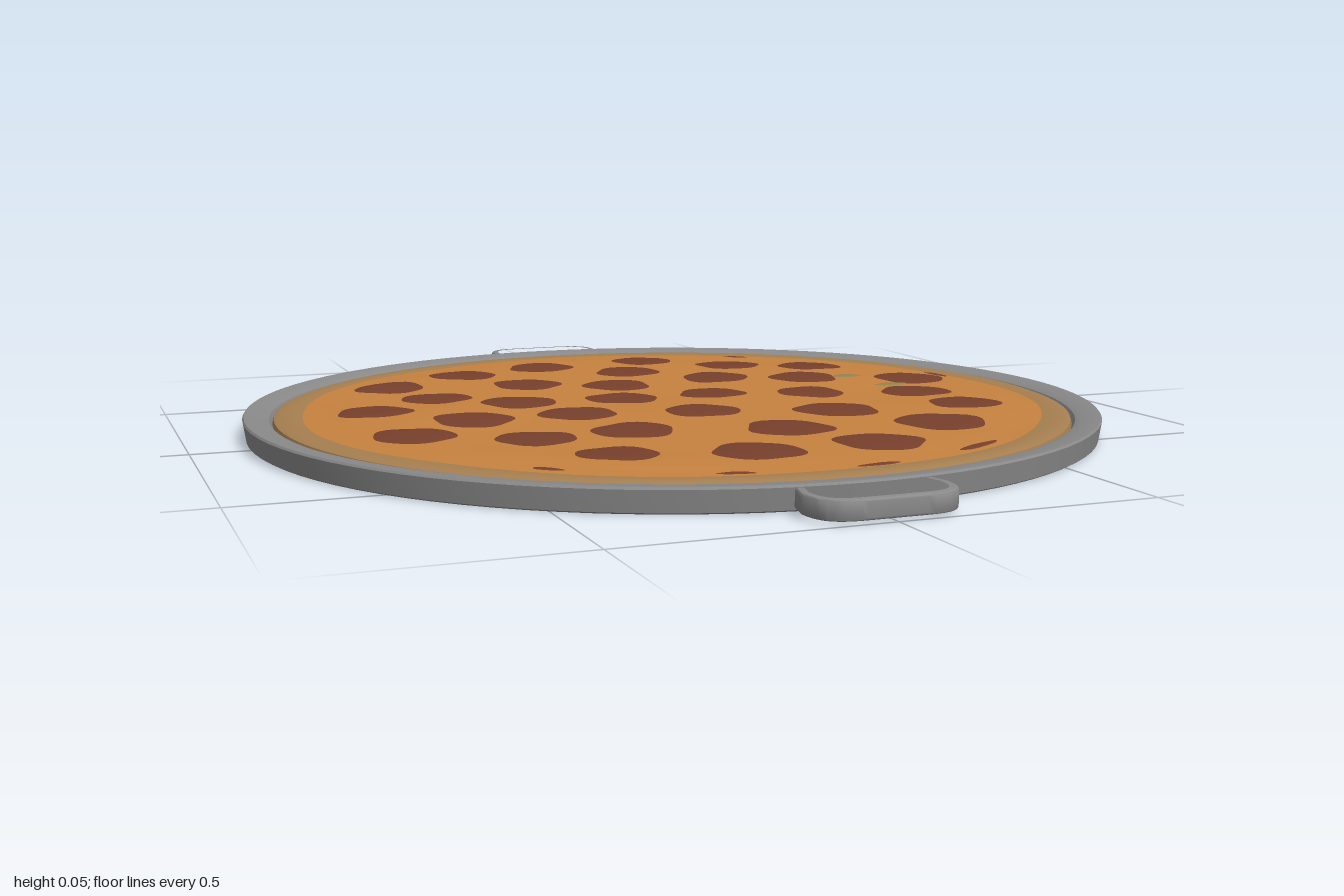
import * as THREE from 'three';
import { toCreasedNormals } from 'three/addons/utils/BufferGeometryUtils.js';

const mat = (name, color) => {
  const m = new THREE.MeshStandardMaterial({ color });
  m.name = name;
  return m;
};

// Gently rippled top of the cheese, dropping to the crust at its edge
function cheeseHeight(x, z) {
  const r = Math.hypot(x, z);
  const ripple = 0.0016 * Math.sin(9 * x + 2 * Math.sin(6 * z)) + 0.0014 * Math.sin(11 * z - 4 * x);
  const edge = THREE.MathUtils.smoothstep(r, 0.66, 0.78);
  return 0.0485 + ripple * (1 - edge) - 0.004 * edge;
}

// Disc of rings and segments; point(t, angle) gives each [x, y, z]
function discGeometry(rings, segments, point) {
  const pos = [], index = [];
  for (let i = 0; i <= rings; i++)
    for (let j = 0; j <= segments; j++) pos.push(...point(i / rings, (j / segments) * Math.PI * 2));
  const w = segments + 1;
  for (let i = 0; i < rings; i++)
    for (let j = 0; j < segments; j++) {
      const a = i * w + j, b = a + w;
      if (i > 0) index.push(a, a + 1, b);
      index.push(a + 1, b + 1, b);
    }
  const g = new THREE.BufferGeometry();
  g.setAttribute('position', new THREE.Float32BufferAttribute(pos, 3));
  g.setIndex(index);
  g.computeVertexNormals();
  return g;
}

// Thin irregular topping draped on the cheese
function toppingGeometry(cx, cz, rx, rz, turn, seed, lift) {
  const c = Math.cos(turn), s = Math.sin(turn);
  return discGeometry(4, 28, (t, a) => {
    const wobble = 1 + 0.05 * Math.sin(3 * a + seed * 2.1) + 0.035 * Math.sin(5 * a + seed * 3.7);
    const u = rx * t * wobble * Math.cos(a), v = rz * t * wobble * Math.sin(a);
    const x = cx + u * c - v * s, z = cz + u * s + v * c;
    return [x, cheeseHeight(x, z) + (t === 1 ? 0.0004 : lift), z];
  });
}

export function createModel() {
  const steel = mat('pan grey', 0x8a8a8a);
  const crustTan = mat('crust tan', 0xa67f50);
  const cheeseOrange = mat('cheese orange', 0xc6823f);
  const meatRed = mat('pepperoni brown', 0x77402c);
  const herbGreen = mat('herb olive', 0x94824f);

  const model = new THREE.Group();
  model.name = 'pizzaInPan';
  const add = (name, geometry, material, parent = model) => {
    const mesh = new THREE.Mesh(geometry, material);
    mesh.name = name;
    parent.add(mesh);
    return mesh;
  };
  const lathe = (profile) => toCreasedNormals(
    new THREE.LatheGeometry(profile.map(([x, y]) => new THREE.Vector2(x, y)), 96), 0.5);

  // Shallow round pan with a wide rim
  add('pan', lathe([[0, 0.003], [0.88, 0.003], [0.885, 0.006], [0.891, 0.046], [0.888, 0.05],
    [0.85, 0.047], [0.838, 0.042], [0.83, 0.03], [0, 0.03]]), steel);

  // Crust ring between the rim and the cheese
  add('crust', lathe([[0.832, 0.032], [0.829, 0.042], [0.818, 0.046], [0.79, 0.0455], [0.76, 0.043]]), crustTan);

  // Cheese
  add('cheese', discGeometry(40, 96, (t, a) => {
    const r = 0.775 * t * (1 + 0.006 * Math.sin(7 * a) * t);
    const x = r * Math.cos(a), z = r * Math.sin(a);
    return [x, cheeseHeight(x, z), z];
  }), cheeseOrange);

  // Pepperoni slices: x, z, radius
  const slices = [
    [-0.11, -0.6, 0.076], [0.16, -0.62, 0.074], [-0.32, -0.53, 0.078], [0.06, -0.45, 0.074],
    [0.33, -0.47, 0.077], [-0.52, -0.41, 0.076], [0.51, -0.39, 0.077], [-0.22, -0.34, 0.076],
    [-0.03, -0.27, 0.075], [0.22, -0.29, 0.075], [-0.46, -0.22, 0.076], [0.41, -0.21, 0.077],
    [-0.62, -0.09, 0.077], [-0.31, -0.1, 0.08], [-0.08, -0.09, 0.078], [0.125, -0.08, 0.073],
    [0.645, -0.125, 0.08], [0.335, -0.015, 0.073], [0.56, 0.05, 0.077], [-0.455, 0.075, 0.08],
    [-0.235, 0.075, 0.08], [0.01, 0.145, 0.078], [-0.605, 0.205, 0.08], [0.28, 0.22, 0.087],
    [0.57, 0.245, 0.077], [-0.395, 0.305, 0.078], [-0.195, 0.295, 0.08],
    [0.095, 0.385, 0.086], [0.41, 0.425, 0.09], [-0.305, 0.515, 0.077], [-0.06, 0.58, 0.086],
    [0.19, 0.58, 0.086]];
  const pepperoni = new THREE.Group();
  pepperoni.name = 'pepperoni';
  model.add(pepperoni);
  slices.forEach(([x, z, r], i) =>
    add('pepperoniSlice', toppingGeometry(x, z, r, r, 0, i, 0.0035), meatRed, pepperoni));

  // Small sauce streaks near the edge: x, z, length, width, turn
  [[0.42, -0.63, 0.03, 0.008, 0.6], [0.35, 0.665, 0.065, 0.011, -0.5], [0.095, 0.755, 0.045, 0.009, -0.1],
    [-0.17, 0.738, 0.035, 0.008, 0.25], [-0.46, 0.59, 0.03, 0.008, 0.7], [0.74, -0.17, 0.04, 0.01, 1.4]]
    .forEach(([x, z, l, w, turn], i) =>
      add('sauceStreak', toppingGeometry(x, z, l, w, turn, i, 0.0015), meatRed));

  // Herb flecks
  [[0.515, -0.195, 0.035, 0.02], [0.56, -0.06, 0.04, 0.016]].forEach(([x, z, l, w], i) =>
    add('herbFleck', toppingGeometry(x, z, l, w, 0, i, 0.002), herbGreen));

  // Loop handles at the front and back
  const outline = (target, w, far, r) => {
    target.moveTo(-w + 0.012, 0.87);
    target.lineTo(-w, 0.92);
    target.bezierCurveTo(-w, far - r * 0.3, -w + r * 0.4, far, -w + r * 1.3, far);
    target.lineTo(w - r * 1.3, far);
    target.bezierCurveTo(w - r * 0.4, far, w, far - r * 0.3, w, 0.92);
    target.lineTo(w - 0.012, 0.87);
    target.closePath();
    return target;
  };
  const shape = outline(new THREE.Shape(), 0.133, 0.996, 0.06);
  shape.holes.push(outline(new THREE.Path(), 0.122, 0.985, 0.052));
  const handleGeometry = toCreasedNormals(new THREE.ExtrudeGeometry(shape, {
    depth: 0.026, bevelEnabled: true, bevelThickness: 0.005, bevelSize: 0.004, bevelSegments: 3, curveSegments: 14,
  }), 0.7);
  handleGeometry.rotateX(Math.PI / 2);
  for (const [name, turn] of [['frontHandle', 0], ['backHandle', Math.PI]]) {
    const handle = add(name, handleGeometry, steel);
    handle.position.y = 0.04;
    handle.rotation.y = turn;
  }
  return model;
}
